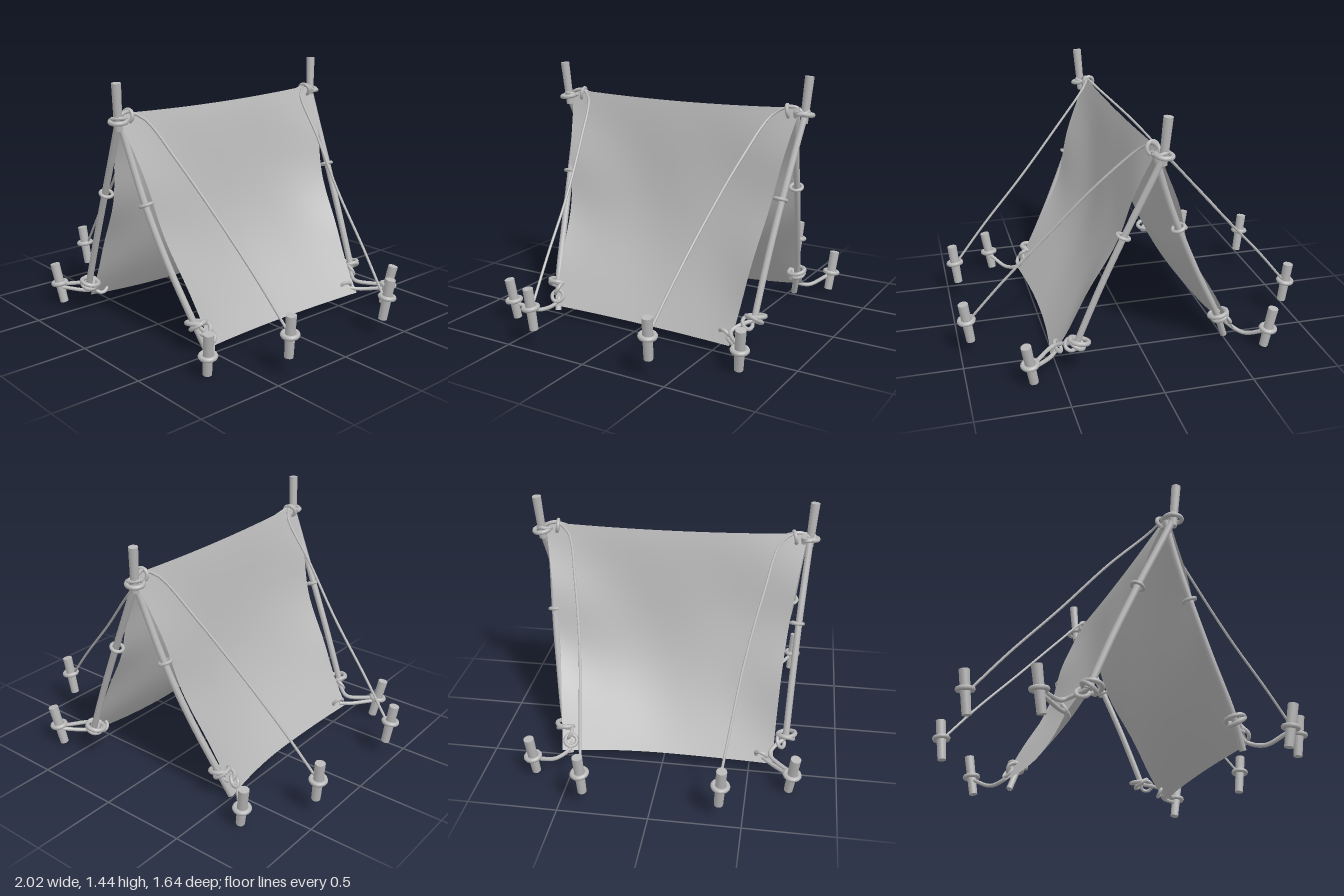
import * as THREE from 'three';

const V = (p) => new THREE.Vector3(...p);
const lerp = THREE.MathUtils.lerp;

export function createModel() {
  const tent = new THREE.Group();
  tent.name = 'tent';
  const grey = new THREE.MeshStandardMaterial({ color: 0xb8b8b8, side: THREE.DoubleSide });
  grey.name = 'plain grey';

  const add = (parent, name, geometry) => {
    const mesh = new THREE.Mesh(geometry, grey);
    mesh.name = name;
    parent.add(mesh);
    return mesh;
  };

  // Straight round rod from a to b
  const rod = (parent, name, a, b, ra, rb) => {
    const A = V(a), B = V(b), d = B.clone().sub(A);
    const m = add(parent, name, new THREE.CylinderGeometry(rb, ra, d.length(), 12));
    m.position.copy(A).add(B).multiplyScalar(0.5);
    m.quaternion.setFromUnitVectors(new THREE.Vector3(0, 1, 0), d.normalize());
  };

  // Bent rope or pole through a few points
  const strand = (parent, name, pts, r, segments = 20) =>
    add(parent, name, new THREE.TubeGeometry(new THREE.CatmullRomCurve3(pts.map(V)), segments, r, 8));

  // Rope loop around an axis
  const ring = (parent, name, p, axis, R, r) => {
    const m = add(parent, name, new THREE.TorusGeometry(R, r, 8, 20));
    m.position.set(...p);
    m.quaternion.setFromUnitVectors(new THREE.Vector3(0, 0, 1), V(axis).normalize());
  };

  // Flat cap for the end of a pole
  const cap = (parent, p, dir, r) => {
    const m = add(parent, 'poleCap', new THREE.CircleGeometry(r, 12));
    m.position.set(...p);
    m.quaternion.setFromUnitVectors(new THREE.Vector3(0, 0, 1), V(dir).normalize());
  };

  // Sheet of canvas from ridge to hem: t runs down, w runs back to front
  const canvasSheet = (hem) => {
    const g = new THREE.PlaneGeometry(1, 1, 36, 30);
    const pos = g.attributes.position;
    for (let i = 0; i < pos.count; i++) {
      const w = pos.getX(i) + 0.5, t = 0.5 - pos.getY(i);
      const edge = (2 * w - 1) ** 2, bow = Math.sin(Math.PI * t);
      const back = lerp(-0.75, hem.backZ, t) + 0.025 * bow;
      const front = lerp(0.75, hem.frontZ, t) - 0.015 * bow;
      const sag = 0.11 - 0.065 * edge;
      const fold = 0.016 * edge * Math.sin(11 * t + 5 * w) * bow + 0.004 * Math.sin(14 * w + 4 * t) * bow;
      const hemX = lerp(hem.middleX, w < 0.5 ? hem.backX : hem.frontX, edge);
      const x = lerp(lerp(-0.018, 0.018, w), hemX, t) - sag * Math.sin(Math.PI * t ** 1.3) + fold;
      const y = lerp(1.257 + 0.02 * edge, 0.055 + 0.015 * edge, t);
      pos.setXYZ(i, x, y, lerp(back, front, w));
    }
    g.computeVertexNormals();
    return g;
  };

  // Everything on one half; the other half is the same turned about the y axis
  const buildHalf = (name, hem) => {
    const half = new THREE.Group();
    half.name = name;
    add(half, 'canvasSheet', canvasSheet(hem));

    // Post tip above the ridge, with the two slim poles below it
    rod(half, 'poleTip', [0.04, 1.19, 0.762], [0.058, 1.445, 0.78], 0.022, 0.026);
    strand(half, 'longPole', [[0.042, 1.23, 0.765], [-0.045, 1.04, 0.75],
      [-0.155, 0.8, 0.733], [-0.285, 0.5, 0.716], [-0.41, 0.185, 0.702]], 0.019, 28);
    cap(half, [-0.41, 0.185, 0.702], [-0.4, -1, 0], 0.019);
    strand(half, 'shortPole', [[0.0, 1.26, 0.735], [0.065, 1.05, 0.71], [0.16, 0.79, 0.685],
      [0.285, 0.5, 0.645], [0.43, 0.2, 0.59], [0.5, 0.025, 0.545]], 0.019, 28);
    cap(half, [0.5, 0.025, 0.545], [0.35, -1, -0.2], 0.019);

    // Lashing at the ridge
    ring(half, 'ridgeLashing', [0.045, 1.24, 0.765], [0.1, 1, 0.1], 0.044, 0.013);
    ring(half, 'ridgeLashing', [0.03, 1.25, 0.752], [-0.2, 1, -0.1], 0.038, 0.011);
    ring(half, 'ridgeLoop', [0.01, 1.255, 0.68], [0.2, 0.15, 0.8], 0.034, 0.011);
    strand(half, 'ridgeTie', [[0.03, 1.25, 0.76], [0.025, 1.275, 0.72], [0.01, 1.28, 0.67]], 0.011);

    // Ties halfway down the poles
    ring(half, 'poleTie', [-0.155, 0.8, 0.723], [-0.42, -1, -0.05], 0.034, 0.01);
    ring(half, 'poleTie', [0.16, 0.795, 0.68], [0.4, -1, -0.1], 0.034, 0.01);

    // Knots near the feet of the poles
    const feet = [
      { p: [-0.39, 0.205, 0.705], s: -1 },
      { p: [0.445, 0.185, 0.58], s: 1 },
    ];
    for (const { p: [x, y, z], s } of feet) {
      ring(half, 'footKnot', [x, y, z], [s * 0.2, -1, 0.15], 0.05, 0.013);
      ring(half, 'footKnot', [x + s * 0.015, y - 0.012, z - 0.005], [s * 0.7, -1, -0.2], 0.045, 0.013);
      ring(half, 'footLoop', [x + s * 0.04, y - 0.03, z - 0.03], [0.3 * s, 0.5, 0.8], 0.034, 0.011);
    }

    // Corner ropes to the corner pegs
    strand(half, 'cornerRope', [[-0.41, 0.19, 0.7], [-0.47, 0.165, 0.64], [-0.52, 0.145, 0.62],
      [-0.655, 0.125, 0.75]], 0.012);
    strand(half, 'cornerRope', [[-0.49, 0.1, 0.58], [-0.54, 0.09, 0.64], [-0.65, 0.105, 0.745]], 0.012);
    ring(half, 'cornerEyelet', [-0.485, 0.11, 0.57], [0.8, 0.5, 0.3], 0.034, 0.011);
    strand(half, 'cornerRope', [[0.45, 0.18, 0.58], [0.52, 0.09, 0.53], [0.6, 0.05, 0.6],
      [0.69, 0.1, 0.69]], 0.012);
    ring(half, 'cornerEyelet', [0.515, 0.12, 0.535], [0.8, 0.5, -0.3], 0.034, 0.011);

    // Pegs with their rope loops
    const pegs = [
      [[-0.648, 0.01, 0.735], [-0.69, 0.25, 0.765], 0.13],
      [[0.685, 0.015, 0.7], [0.722, 0.255, 0.72], 0.125],
      [[-0.94, 0.1, 0.372], [-0.972, 0.34, 0.387], 0.235],
      [[0.938, 0.1, 0.368], [0.962, 0.34, 0.38], 0.23],
    ];
    for (const [a, b, h] of pegs) {
      rod(half, 'peg', a, b, 0.025, 0.029);
      const k = (h - a[1]) / (b[1] - a[1]);
      const p = [lerp(a[0], b[0], k), h, lerp(a[2], b[2], k)];
      ring(half, 'pegLoop', p, [0.1 * Math.sign(a[0]), 1, 0.1], 0.039, 0.014);
    }

    // Guy lines from the ridge
    for (const s of [-1, 1]) {
      strand(half, 'guyLine', [[0.015, 1.28, 0.68], [0.015 + s * 0.045, 1.235, 0.605],
        [s * 0.25, 1.02, 0.53], [s * 0.5, 0.735, 0.457], [s * 0.75, 0.46, 0.408],
        [s * 0.925, 0.25, 0.375]], 0.0075, 28);
    }
    return half;
  };

  tent.add(buildHalf('frontHalf',
    { middleX: 0.49, backX: 0.535, backZ: -0.62, frontX: 0.54, frontZ: 0.545 }));
  const backHalf = buildHalf('backHalf',
    { middleX: 0.47, backX: 0.505, backZ: -0.635, frontX: 0.55, frontZ: 0.58 });
  backHalf.rotation.y = Math.PI;
  tent.add(backHalf);
  return tent;
}
